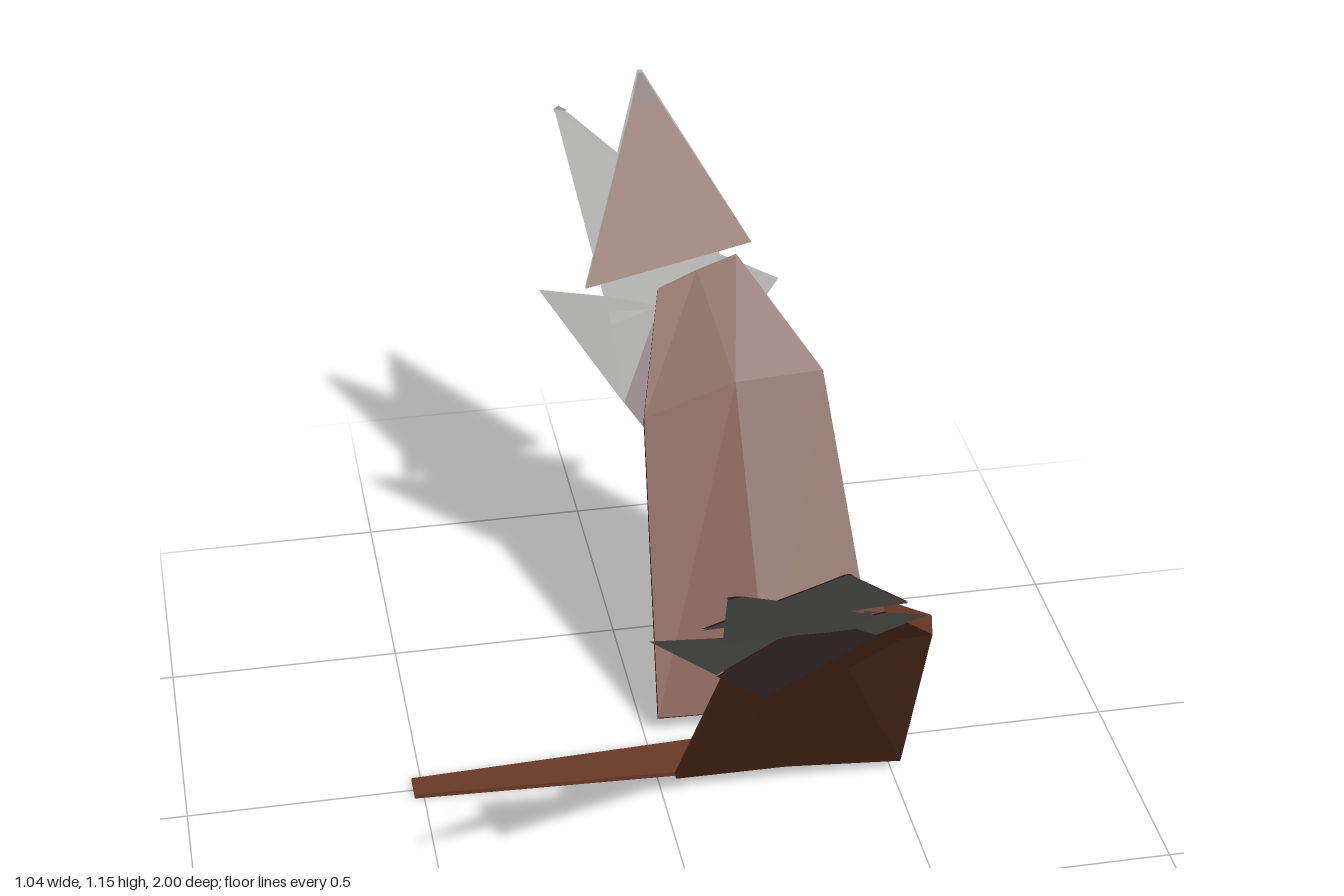
import * as THREE from 'three';

const mat = (name, color) =>
  new THREE.MeshStandardMaterial({ name, color, side: THREE.DoubleSide, flatShading: true });

function meshFrom(name, tris, material) {
  const geo = new THREE.BufferGeometry();
  geo.setAttribute('position', new THREE.Float32BufferAttribute(tris.flat(), 3));
  geo.computeVertexNormals();
  const mesh = new THREE.Mesh(geo, material);
  mesh.name = name;
  return mesh;
}

// Solid through equal cross-section loops, closed at both ends; flip for the mirrored side
function loft(name, loops, material, flip) {
  const tris = [];
  const tri = (a, b, c) => tris.push(...(flip ? [a, c, b] : [a, b, c]));
  const n = loops[0].length;
  for (let i = 0; i + 1 < loops.length; i++) {
    for (let j = 0; j < n; j++) {
      const k = (j + 1) % n, a = loops[i], b = loops[i + 1];
      tri(a[j], a[k], b[j]);
      tri(a[k], b[k], b[j]);
    }
  }
  const first = loops[0], last = loops[loops.length - 1];
  for (let j = 1; j + 1 < n; j++) {
    tri(first[0], first[j + 1], first[j]);
    tri(last[0], last[j], last[j + 1]);
  }
  return meshFrom(name, tris, material);
}

// Thin convex plate given by x, y corners lying on the slope z(y)
function plate(name, corners, slope, material, side) {
  const p = corners.map(([x, y]) => [x, y, side * slope(y)]);
  if (THREE.ShapeUtils.area(corners.map(([x, y]) => new THREE.Vector2(x, y))) * side < 0) p.reverse();
  const tris = [];
  for (let j = 1; j + 1 < p.length; j++) tris.push(p[0], p[j], p[j + 1]);
  return meshFrom(name, tris, material);
}

export function createModel() {
  const model = new THREE.Group();
  model.name = 'wingsAndTail';
  const brown = mat('brown', 0x6b3a27);
  const grey = mat('featherGrey', 0x80807e);
  const plum = mat('plumBrown', 0x5c4447);

  // Wing sections from root to tip: leading, middle, trailing on top, then back underneath
  const sections = [
    [[0.52, 0.055, 0.06], [0.27, 0.06, 0.065], [0.03, 0.045, 0.097],
     [0.03, 0.035, 0.107], [0.27, 0.04, 0.115], [0.52, 0.02, 0.115]],
    [[0.465, 0.66, 0.47], [0.27, 0.65, 0.47], [0.065, 0.59, 0.455],
     [0.065, 0.58, 0.463], [0.27, 0.625, 0.5], [0.46, 0.635, 0.5]],
    [[0.31, 0.855, 0.67], [0.22, 0.83, 0.66], [0.13, 0.80, 0.645],
     [0.13, 0.79, 0.65], [0.22, 0.81, 0.665], [0.31, 0.838, 0.685]],
  ];

  // Slopes of the feather layers
  const lower = (y) => 0.352 + (y - 0.39) * 0.74;
  const upper = (y) => 0.635 + (y - 0.77) * 0.96;
  const tip = (y) => 0.65 + (y - 0.815) * 1.03;
  const shift = (slope, d) => (y) => slope(y) + d;

  for (const side of [1, -1]) {
    const wing = new THREE.Group();
    wing.name = side > 0 ? 'frontWing' : 'backWing';
    const add = (name, corners, slope, material) =>
      wing.add(plate(name, corners, slope, material, side));

    wing.add(loft('wingPanel',
      sections.map((s) => s.map(([x, y, z]) => [x, y, z * side])), brown, side < 0));

    // Lower feather: grey blade, plum patch and brown edge beneath the wing
    add('lowerFeather', [[-0.13, 0.813], [0.03, 0.6], [0.13, 0.765], [0.02, 0.79]], lower, grey);
    add('lowerFeatherPatch', [[0.03, 0.6], [0.15, 0.45], [0.32, 0.72], [0.27, 0.765], [0.15, 0.77], [0.13, 0.765]],
      shift(lower, 0.004), plum);
    add('lowerFeatherEdge', [[0.15, 0.45], [0.195, 0.39], [0.375, 0.69], [0.32, 0.72]], shift(lower, 0.004), brown);
    add('sideFeather', [[0.402, 0.795], [0.27, 0.85], [0.27, 0.765], [0.32, 0.72]], lower, grey);

    // Upper feather with a coloured point
    add('upperFeather', [[-0.045, 1.1], [-0.018, 1.095], [0.08, 1.022], [0.28, 0.86], [0.275, 0.765], [0.15, 0.77], [0.02, 0.74]],
      upper, grey);
    add('upperFeatherPoint', [[-0.047, 1.1], [-0.035, 1.105], [-0.018, 1.097], [-0.04, 1.085]], shift(upper, 0.002), plum);

    // Wing tip: brown on top, grey underneath
    add('tipTop', [[-0.03, 0.815], [0.35, 0.865], [0.189, 1.105], [0.128, 1.105]], shift(tip, -0.003), brown);
    add('tipPoint', [[0.128, 1.105], [0.189, 1.105], [0.16, 1.152], [0.15, 1.152]], shift(tip, -0.003), plum);
    add('tipUnderside', [[-0.03, 0.815], [0.35, 0.865], [0.16, 1.155], [0.15, 1.155]], shift(tip, 0.002), grey);
    model.add(wing);
  }

  // Tapered tail
  const tailLoop = (x, w) => [[x, 0.01, w], [x, 0.01, -w], [x, 0, -w], [x, 0, w]];
  model.add(loft('tail', [tailLoop(-0.52, 0.029), tailLoop(0.105, 0.056)], brown, true));
  return model;
}
